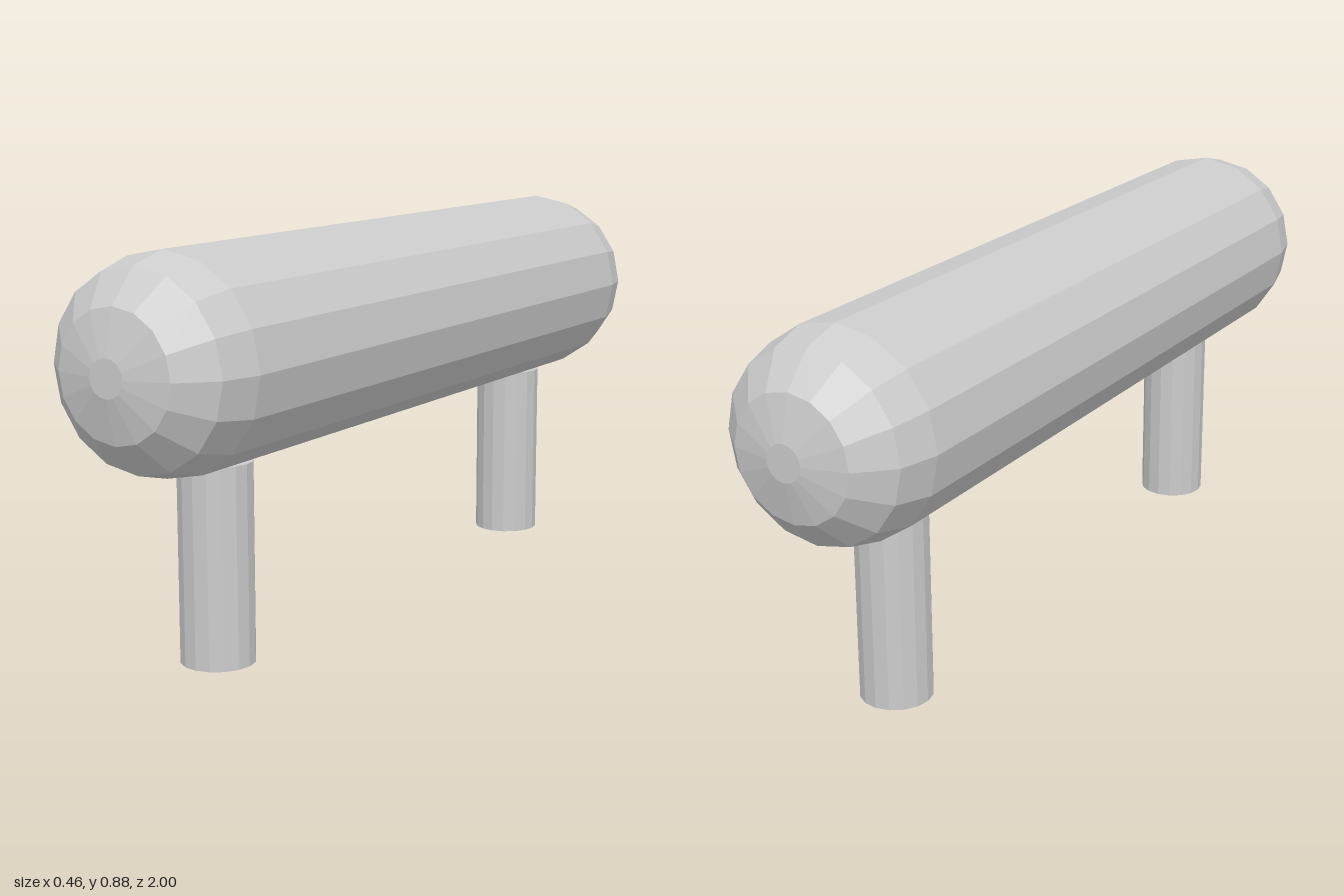
import * as THREE from 'three';

export function createModel() {
  const group = new THREE.Group();
  const material = new THREE.MeshStandardMaterial({ color: 0xcccccc, flatShading: true });
  const SIDES = 16;

  // Rounded horizontal bar: half profile [radius, distance from middle], mirrored
  const end = [[0.228, 0.82], [0.205, 0.91], [0.135, 0.977], [0.04, 1], [0, 1]];
  const profile = [
    ...end.slice().reverse().map(([r, d]) => new THREE.Vector2(r, -d)),
    ...end.map(([r, d]) => new THREE.Vector2(r, d)),
  ];
  const bar = new THREE.Mesh(new THREE.LatheGeometry(profile, SIDES), material);
  bar.name = 'bar';
  bar.rotation.x = Math.PI / 2;
  bar.position.y = 0.65;
  group.add(bar);

  // Two round posts that carry the bar
  const postHeight = 0.43;
  const postGeometry = new THREE.CylinderGeometry(0.08, 0.08, postHeight, SIDES);
  for (const [name, z] of [['frontPost', 0.66], ['backPost', -0.66]]) {
    const post = new THREE.Mesh(postGeometry, material);
    post.name = name;
    post.position.set(0, postHeight / 2, z);
    group.add(post);
  }

  return group;
}
